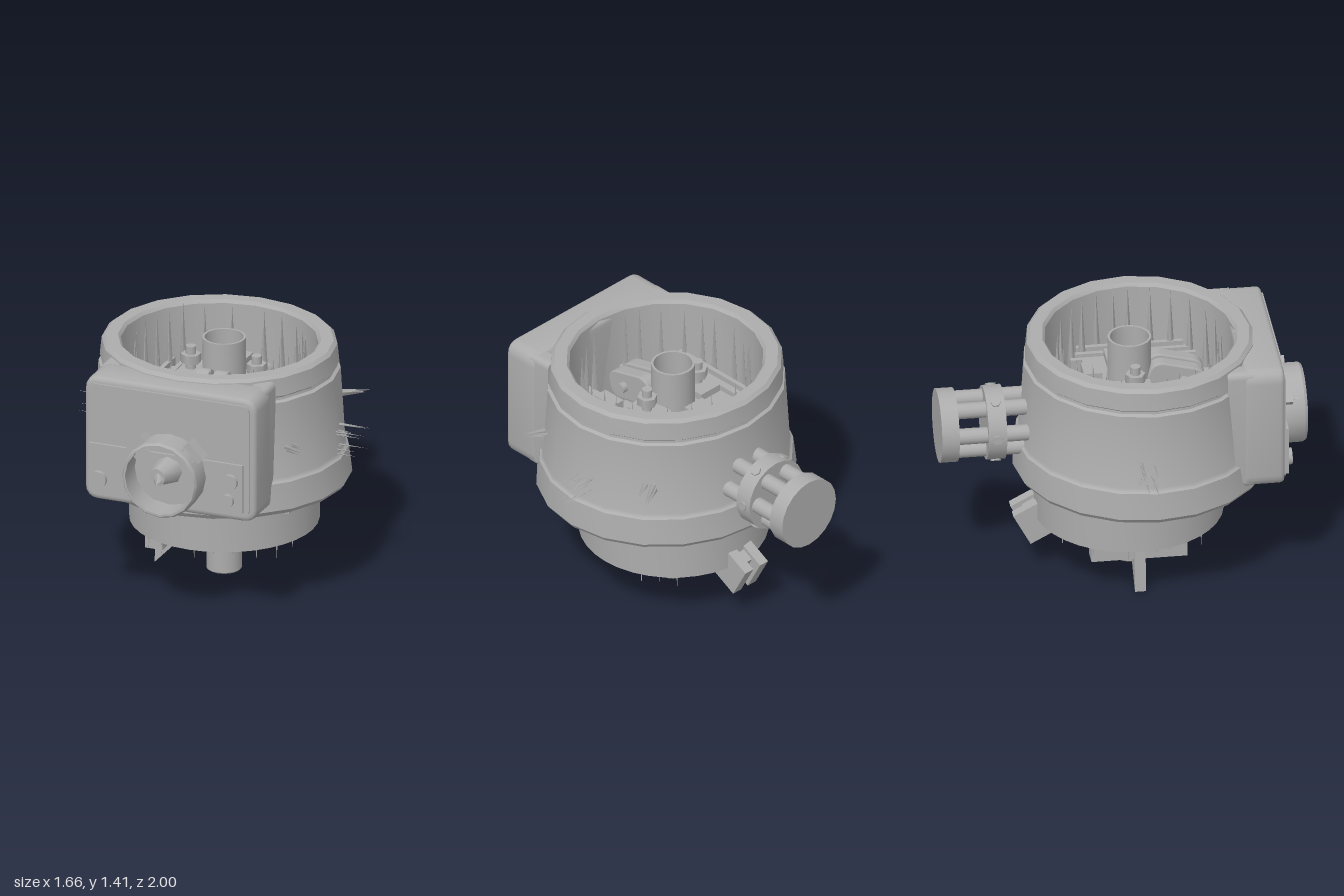
import * as THREE from 'three';
import { toCreasedNormals } from 'three/addons/utils/BufferGeometryUtils.js';

export function createModel() {
  const model = new THREE.Group();
  const grey = new THREE.MeshStandardMaterial({ color: 0xacacac, side: THREE.DoubleSide });
  grey.name = 'plain grey';

  function add(name, geometry, x = 0, y = 0, z = 0, parent = model) {
    const mesh = new THREE.Mesh(geometry, grey);
    mesh.name = name;
    mesh.position.set(x, y, z);
    parent.add(mesh);
    return mesh;
  }
  function group(name, x = 0, y = 0, z = 0) {
    const g = new THREE.Group();
    g.name = name;
    g.position.set(x, y, z);
    model.add(g);
    return g;
  }
  const box = (w, h, d) => new THREE.BoxGeometry(w, h, d);
  const cyl = (r, h, n = 20, r2 = r) => new THREE.CylinderGeometry(r2, r, h, n);
  const cylZ = (r, h, n = 20) => cyl(r, h, n).rotateX(Math.PI / 2);
  const lathe = (pts, n) => toCreasedNormals(
    new THREE.LatheGeometry(pts.map(p => new THREE.Vector2(p[0], p[1])), n), 0.5);
  function roundedRect(w, h, r) {
    const s = new THREE.Shape(), a = w / 2, b = h / 2;
    s.moveTo(-a + r, -b);
    s.lineTo(a - r, -b); s.quadraticCurveTo(a, -b, a, -b + r);
    s.lineTo(a, b - r); s.quadraticCurveTo(a, b, a - r, b);
    s.lineTo(-a + r, b); s.quadraticCurveTo(-a, b, -a, b - r);
    s.lineTo(-a, -b + r); s.quadraticCurveTo(-a, -b, -a + r, -b);
    return s;
  }
  let seed = 7;
  const rand = () => (seed = (seed * 16807) % 2147483647) / 2147483647;

  // Tapered drum with two grooves and an open well
  const drum = add('drum', lathe([
    [0.5, 0.6], [0.7, 0.6], [0.718, 0.625], [0.7, 0.775], [0.688, 0.785], [0.681, 0.8],
    [0.655, 1.225], [0.638, 1.235], [0.636, 1.25], [0.648, 1.26], [0.638, 1.36], [0.618, 1.378],
    [0.55, 1.378], [0.535, 1.36], [0.52, 0.78], [0, 0.78],
  ], 20), -0.004, 0, 0.1);
  drum.scale.z = 0.96;

  // Lower skirt, open underneath
  add('skirt', lathe([
    [0, 0.75], [0.49, 0.75], [0.49, 0.315], [0.512, 0.315], [0.512, 0.61],
  ], 36), 0, 0, 0.04);
  for (const s of [-1, 1]) add('undersidePlate', box(0.18, 0.03, 0.6), s * 0.46, 0.595, 0.18);

  // Central column
  add('column', lathe([
    [0, 0.015], [0.088, 0.015], [0.096, 0.023], [0.096, 0.185], [0.115, 0.185], [0.125, 0.195],
    [0.125, 0.5], [0.118, 0.55], [0.118, 1.36], [0.105, 1.36], [0.105, 1.2], [0, 1.2],
  ], 24), 0, 0, 0.045);

  // Front housing, its side shoulders closing the gap to the drum
  const housing = new THREE.ExtrudeGeometry(roundedRect(0.94, 0.66, 0.05),
    { depth: 0.17, bevelThickness: 0.025, bevelSize: 0.025, bevelSegments: 3, curveSegments: 4 });
  add('frontHousing', toCreasedNormals(housing, 0.6), 0, 1.0, 0.625);
  for (const s of [-1, 1]) add('housingShoulder', toCreasedNormals(new THREE.ExtrudeGeometry(
    roundedRect(0.12, 0.7, 0.04), { depth: 0.14, bevelEnabled: false }), 0.6), s * 0.425, 1.0, 0.51);
  add('housingFace', new THREE.ExtrudeGeometry(roundedRect(0.92, 0.64, 0.04),
    { depth: 0.012, bevelEnabled: false }), 0, 1.0, 0.818);
  add('controlPanel', box(0.89, 0.275, 0.03), -0.015, 0.843, 0.83);
  for (const [x, y, r] of [[-0.4, 0.78, 0.046], [0.36, 0.88, 0.043], [0.345, 0.77, 0.036]])
    add('button', cylZ(r, 0.06, 16), x, y, 0.838);

  // Hollow front socket with clamps and an inner nozzle
  const socket = group('frontSocket', 0, 0.88, 0.82);
  const ring = lathe([[0.195, 0], [0.217, 0], [0.217, 0.15], [0.207, 0.165], [0.195, 0.165], [0.195, 0]], 16);
  add('socketRing', ring.rotateX(Math.PI / 2), 0, 0, 0, socket);
  for (const s of [-1, 1]) {
    const clamp = add('socketClamp', box(0.12, 0.09, 0.075), s * 0.15, 0.14, 0.045, socket);
    clamp.rotation.z = -s * 0.78;
    const jaw = add('clampJaw', box(0.09, 0.06, 0.03), s * 0.125, 0.13, 0.11, socket);
    jaw.rotation.z = -s * 0.78;
  }
  const nozzle = add('nozzle', cyl(0.085, 0.14, 8, 0.05).rotateX(Math.PI / 2), -0.01, 0.01, 0.07, socket);
  nozzle.rotation.y = -0.15;
  add('nozzleTip', new THREE.ConeGeometry(0.045, 0.06, 6).rotateX(1.9), -0.01, -0.01, 0.15, socket);

  // Rear knob: two discs joined by six rods
  const knob = group('rearKnob', 0, 0.89, 0);
  add('endDisc', cylZ(0.202, 0.095, 20), 0, 0, -0.95, knob);
  add('middleDisc', cylZ(0.202, 0.1, 20), 0, 0, -0.695, knob);
  for (let i = 0; i < 6; i++) {
    const a = i * Math.PI / 3;
    const x = Math.cos(a) * 0.138, y = Math.sin(a) * 0.138;
    add('rod', cylZ(0.044, 0.6, 14), x, y, -0.65, knob);
    const b = a + Math.PI / 6;
    const bolt = add('discBolt', cyl(0.028, 0.02, 6), Math.sin(b) * 0.2, Math.cos(b) * 0.2, -0.695, knob);
    bolt.rotation.z = -b;
  }

  // Mechanism inside the well
  const works = group('mechanism');
  add('baseBlock', box(0.5, 0.3, 0.38), 0, 0.95, 0.01, works);
  add('crossPlate', box(0.8, 0.04, 0.34), 0, 1.04, 0.03, works);
  add('rearRail', box(0.13, 0.06, 0.1), 0, 1.15, -0.16, works);
  for (const s of [-1, 1]) {
    [0.26, 0.32, 0.39].forEach((x, i) =>
      add('sideFin', box(0.025, 0.2, 0.68 - i * 0.05), s * x, 0.99, 0.1, works));
    add('bracket', box(0.14, 0.04, 0.2), s * 0.18, 1.13, 0.04, works);
    add('post', cyl(0.028, 0.18, 10), s * 0.19, 1.19, 0.05, works);
    add('postNut', cyl(0.055, 0.05, 6), s * 0.19, 1.21, 0.05, works);
    add('innerRod', cylZ(0.04, 0.28, 12), s * 0.07, 1.01, -0.28, works);
    add('frontStrut', box(0.07, 0.2, 0.34), s * 0.16, 0.92, 0.42, works);
    add('frontClip', box(0.08, 0.1, 0.14), s * 0.19, 1.03, 0.34, works);
    // Rounded fork arm
    const arm = new THREE.ExtrudeGeometry(roundedRect(0.3, 0.15, 0.07),
      { depth: 0.06, bevelThickness: 0.008, bevelSize: 0.008, bevelSegments: 2 });
    const fork = add('forkArm', arm.rotateY(-Math.PI / 2), s * 0.05 + 0.03, 1.12, 0.29, works);
    fork.rotation.x = 0.25;
  }
  add('forkPin', cyl(0.03, 0.24, 10).rotateZ(Math.PI / 2), 0, 1.11, 0.33, works);

  // Slotted arm dipping outwards below the skirt
  const lever = group('slottedLever', 0, 0.4, -0.276);
  lever.rotation.x = -0.49;
  for (const s of [-1, 1]) add('leverCheek', box(0.06, 0.2, 0.62), s * 0.055, 0, 0, lever);
  add('leverWeb', box(0.06, 0.16, 0.56), 0, 0, 0.03, lever);

  // Pointed blade and its crossbar
  const bladeShape = new THREE.Shape([[-0.35, 0.56], [-0.39, 0], [-0.25, 0.145], [-0.25, 0.56]]
    .map(p => new THREE.Vector2(p[0], p[1])));
  add('blade', new THREE.ExtrudeGeometry(bladeShape, { depth: 0.06, bevelEnabled: false }), 0, 0, 0.02);
  add('bladeCrossbar', box(0.1, 0.13, 0.52), -0.3, 0.245, 0.05);
  add('crossbarStem', box(0.09, 0.3, 0.3), -0.3, 0.45, 0.05);

  // Thin spikes: upright in the well, hanging in the skirt, bristling at the sides
  const spikes = group('spikes');
  const up = new THREE.Vector3(0, 1, 0);
  function spike(x, y, z, dir, length, r) {
    const cone = new THREE.ConeGeometry(r, length, 4).translate(0, length / 2, 0);
    add('spike', cone, x, y, z, spikes).quaternion.setFromUnitVectors(up, dir.normalize());
  }
  for (let i = 0; i < 26; i++) {
    const a = (i + rand() * 0.6) / 26 * Math.PI * 2;
    const c = Math.cos(a), s = Math.sin(a);
    if (Math.abs(c) > 0.15) spike(c * 0.46, 1.0, 0.1 + s * 0.44, new THREE.Vector3(0, 1, 0), 0.35 + rand() * 0.06, 0.024);
    spike(c * 0.46, 0.4, 0.04 + s * 0.46, new THREE.Vector3(0, -1, 0), 0.12 + rand() * 0.08, 0.011);
  }
  for (const side of [-1, 1]) {
    for (let i = 0; i < 14; i++)
      spike(side * 0.64, 0.8 + rand() * 0.15, rand() * 0.1,
        new THREE.Vector3(side, 0, 0), 0.07 + rand() * 0.13, 0.006);
  }
  for (const z of [-0.3, 0.44]) {
    for (let i = 0; i < 4; i++)
      spike(0.5, 0.94 + rand() * 0.05, z + (rand() - 0.5) * 0.08,
        new THREE.Vector3(1, 0, z < 0 ? -0.6 : 0.5), (z < 0 ? 0.15 : 0.11) + rand() * 0.05, 0.018);
  }
  return model;
}
